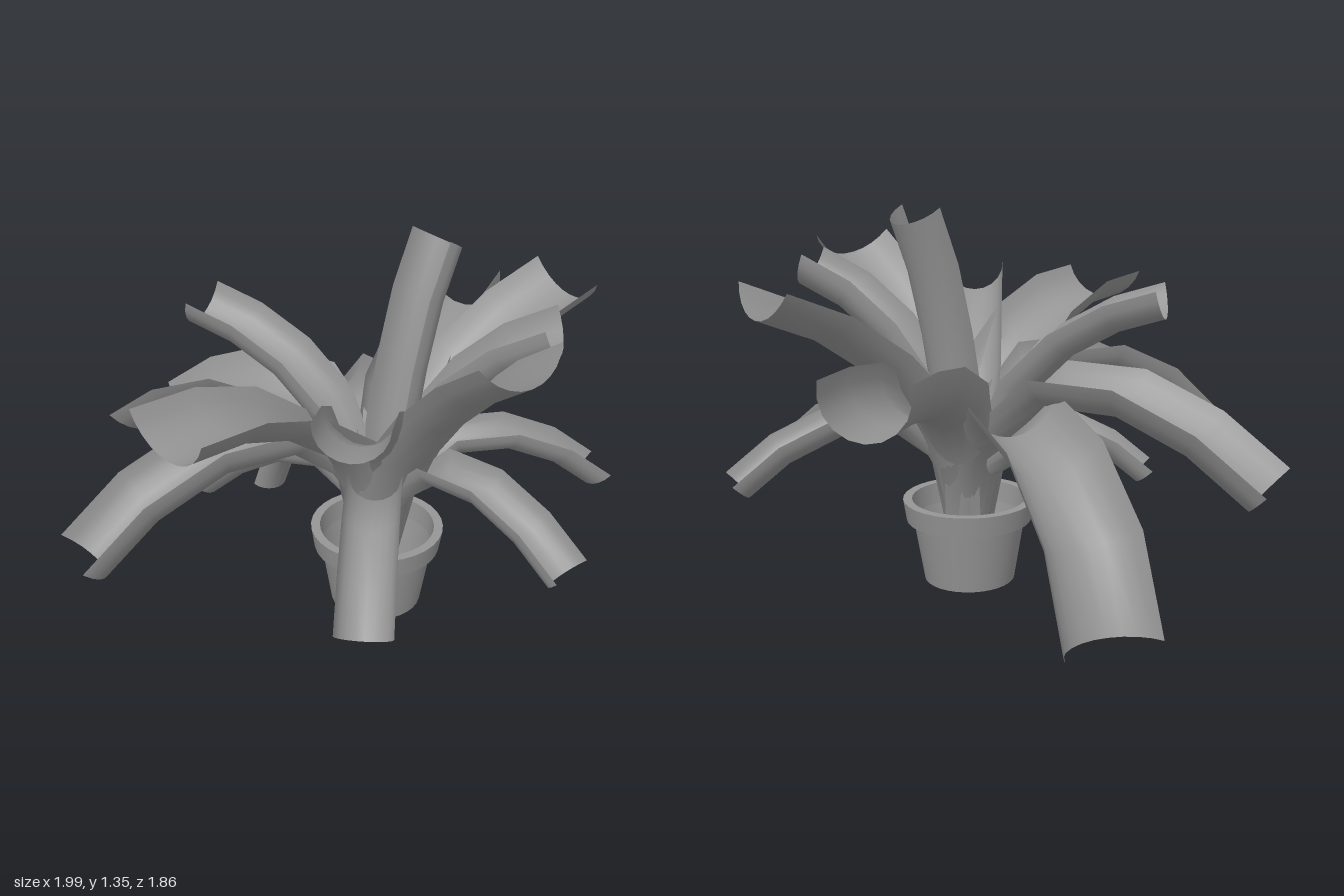
import * as THREE from 'three';

const CX = 0.113, CZ = 0.137; // pot axis
const material = new THREE.MeshStandardMaterial({ color: 0x969696, side: THREE.DoubleSide });

// Gutter-shaped leaf: an arc section swept along a Bezier that lies in a vertical plane.
// tip: end of the midrib, chord/depth: section size, angle: slope at the tip in degrees,
// rise: height of the first handle, reach: length of the tip handle
function makeLeaf(name, [tip, chord, depth, angle, rise, reach]) {
  const rows = 5, cols = 10;
  const dx = tip[0] - CX, dz = tip[2] - CZ;
  const r = Math.hypot(dx, dz), ux = dx / r, uz = dz / r;
  const a = THREE.MathUtils.degToRad(angle);
  const curve = new THREE.CubicBezierCurve(
    new THREE.Vector2(0.07, 0.19),
    new THREE.Vector2(0.1, rise),
    new THREE.Vector2(r - reach * Math.cos(a), tip[1] - reach * Math.sin(a)),
    new THREE.Vector2(r, tip[1])
  );
  const radius = (chord * chord / 4 + depth * depth) / (2 * depth);
  const half = 2 * Math.atan(2 * depth / chord);

  const geometry = new THREE.PlaneGeometry(1, 1, cols, rows);
  const pos = geometry.attributes.position;
  for (let i = 0; i <= rows; i++) {
    const t = i / rows;
    const p = curve.getPoint(t), d = curve.getTangent(t);
    const grow = 0.55 + 0.45 * Math.min(1, t / 0.4); // narrow at the root
    for (let j = 0; j <= cols; j++) {
      const phi = half * (2 * j / cols - 1);
      const side = radius * Math.sin(phi) * grow;
      const lift = radius * (1 - Math.cos(phi)) * grow;
      const out = p.x - d.y * lift, y = p.y + d.x * lift;
      pos.setXYZ(i * (cols + 1) + j, CX + ux * out - uz * side, y, CZ + uz * out + ux * side);
    }
  }
  geometry.computeVertexNormals();
  const mesh = new THREE.Mesh(geometry, material);
  mesh.name = name;
  return mesh;
}

// Straight-sided ring of the pot
function makeRing(name, rTop, rBottom, y0, y1) {
  const geometry = new THREE.CylinderGeometry(rTop, rBottom, y1 - y0, 32, 1, true);
  const mesh = new THREE.Mesh(geometry, material);
  mesh.position.set(CX, (y0 + y1) / 2, CZ);
  mesh.name = name;
  return mesh;
}

// Flat ring joining the walls of the rim
function makeLedge(name, inner, outer, y) {
  const mesh = new THREE.Mesh(new THREE.RingGeometry(inner, outer, 32), material);
  mesh.rotation.x = -Math.PI / 2;
  mesh.position.set(CX, y, CZ);
  mesh.name = name;
  return mesh;
}

export function createModel() {
  const model = new THREE.Group();
  model.name = 'pottedPlant';

  // Open-bottomed pot with a collar
  const pot = new THREE.Group();
  pot.name = 'pot';
  pot.add(
    makeRing('potWall', 0.2, 0.163, 0, 0.225),
    makeRing('rimOuter', 0.237, 0.225, 0.225, 0.302),
    makeRing('rimInner', 0.205, 0.2, 0.225, 0.302),
    makeLedge('rimTop', 0.205, 0.237, 0.302),
    makeLedge('rimUnderside', 0.2, 0.225, 0.225)
  );
  model.add(pot);

  // Rising leaves: tip, chord, depth, tip angle, rise, reach
  const upper = [
    [[0.163, 1.12, 0.83], 0.33, 0.1, 30, 0.6, 0.3],
    [[0.49, 1.06, 0.595], 0.23, 0.125, 20, 0.7, 0.25],
    [[0.905, 1.03, 0.175], 0.33, 0.105, 16, 0.6, 0.35],
    [[0.92, 0.775, -0.44], 0.27, 0.17, 2, 0.75, 0.35],
    [[-0.755, 0.92, 0.345], 0.33, 0.115, -4, 0.75, 0.35],
    [[-0.345, 0.95, 0.67], 0.23, 0.115, 5, 0.75, 0.25],
    [[-0.285, 0.98, -0.43], 0.23, 0.11, 12, 0.75, 0.25],
    [[0.41, 1.295, 0.12], 0.195, 0.115, 61, 0.5, 0.25]
  ];
  // Drooping leaves
  const lower = [
    [[-0.32, 0.405, -0.785], 0.35, 0.13, -43, 0.95, 0.4],
    [[0.34, 0.13, -0.745], 0.33, 0.13, -82, 0.95, 0.42],
    [[-0.88, 0.42, 0.05], 0.25, 0.13, -50, 0.98, 0.35],
    [[-0.34, 0.375, 0.75], 0.18, 0.09, -45, 0.8, 0.25],
    [[0.325, 0.395, 0.83], 0.18, 0.09, -45, 0.8, 0.25],
    [[0.84, 0.395, 0.405], 0.18, 0.09, -45, 0.8, 0.25],
    [[-0.32, 0.375, -0.27], 0.17, 0.08, -45, 0.72, 0.22],
    [[0.02, 0.2, -0.42], 0.14, 0.07, -82, 0.7, 0.25]
  ];
  const leaves = new THREE.Group();
  leaves.name = 'leaves';
  upper.forEach((spec, i) => leaves.add(makeLeaf(`risingLeaf${i + 1}`, spec)));
  lower.forEach((spec, i) => leaves.add(makeLeaf(`droopingLeaf${i + 1}`, spec)));
  model.add(leaves);

  return model;
}
